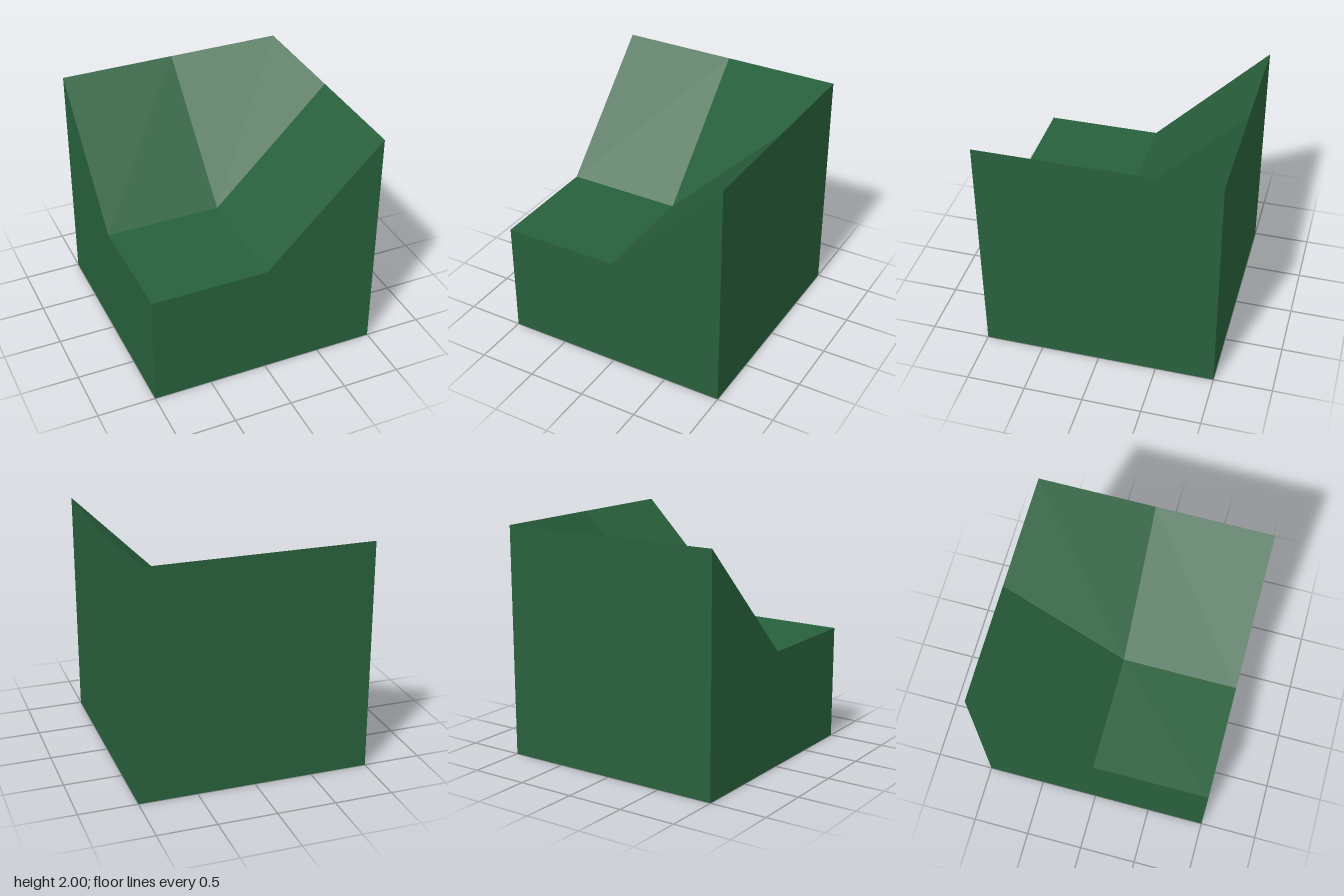
import * as THREE from 'three';

// Flat-shaded polygon, fanned from its first corner, with one averaged normal
function polygon(points) {
  const p = points.map((a) => new THREE.Vector3(...a));
  const normal = new THREE.Vector3();
  const positions = [];
  const normals = [];
  for (let i = 1; i < p.length - 1; i++) {
    const a = p[i].clone().sub(p[0]);
    const b = p[i + 1].clone().sub(p[0]);
    normal.add(a.cross(b));
    for (const v of [p[0], p[i], p[i + 1]]) positions.push(v.x, v.y, v.z);
  }
  normal.normalize();
  for (let i = 0; i < positions.length; i += 3) normals.push(normal.x, normal.y, normal.z);
  const g = new THREE.BufferGeometry();
  g.setAttribute('position', new THREE.Float32BufferAttribute(positions, 3));
  g.setAttribute('normal', new THREE.Float32BufferAttribute(normals, 3));
  return g;
}

// Ground height: low front corner, rising to the back and to the +x side
const height = (x, z) => 1 + Math.max(0, x, -z);

export function createModel() {
  const group = new THREE.Group();
  group.name = 'terrainCornerBlock';
  const grass = new THREE.MeshStandardMaterial({ color: 0x28603c });
  grass.name = 'dark green';

  const add = (name, points) => {
    const mesh = new THREE.Mesh(polygon(points), grass);
    mesh.name = name;
    group.add(mesh);
  };

  // Four top quarters: lower ledge, two ramps and the inner corner
  const quarter = (name, x, z) => add(name,
    [[x, z + 1], [x + 1, z + 1], [x + 1, z], [x, z]].map(([a, b]) => [a, height(a, b), b]));
  quarter('lowerLedge', -1, 0);
  quarter('backRamp', -1, -1);
  quarter('sideRamp', 0, 0);
  add('innerCorner', [[0, 1, 0], [1, 2, 0], [1, 2, -1], [0, 2, -1]]);

  // Walls and underside
  add('frontWall', [[0, 1, 1], [-1, 1, 1], [-1, 0, 1], [1, 0, 1], [1, 2, 1]]);
  add('rightWall', [[-1, 1, 0], [-1, 2, -1], [-1, 0, -1], [-1, 0, 1], [-1, 1, 1]]);
  add('backWall', [[1, 0, -1], [-1, 0, -1], [-1, 2, -1], [1, 2, -1]]);
  add('leftWall', [[1, 0, 1], [1, 0, -1], [1, 2, -1], [1, 2, 1]]);
  add('underside', [[-1, 0, -1], [1, 0, -1], [1, 0, 1], [-1, 0, 1]]);

  return group;
}
